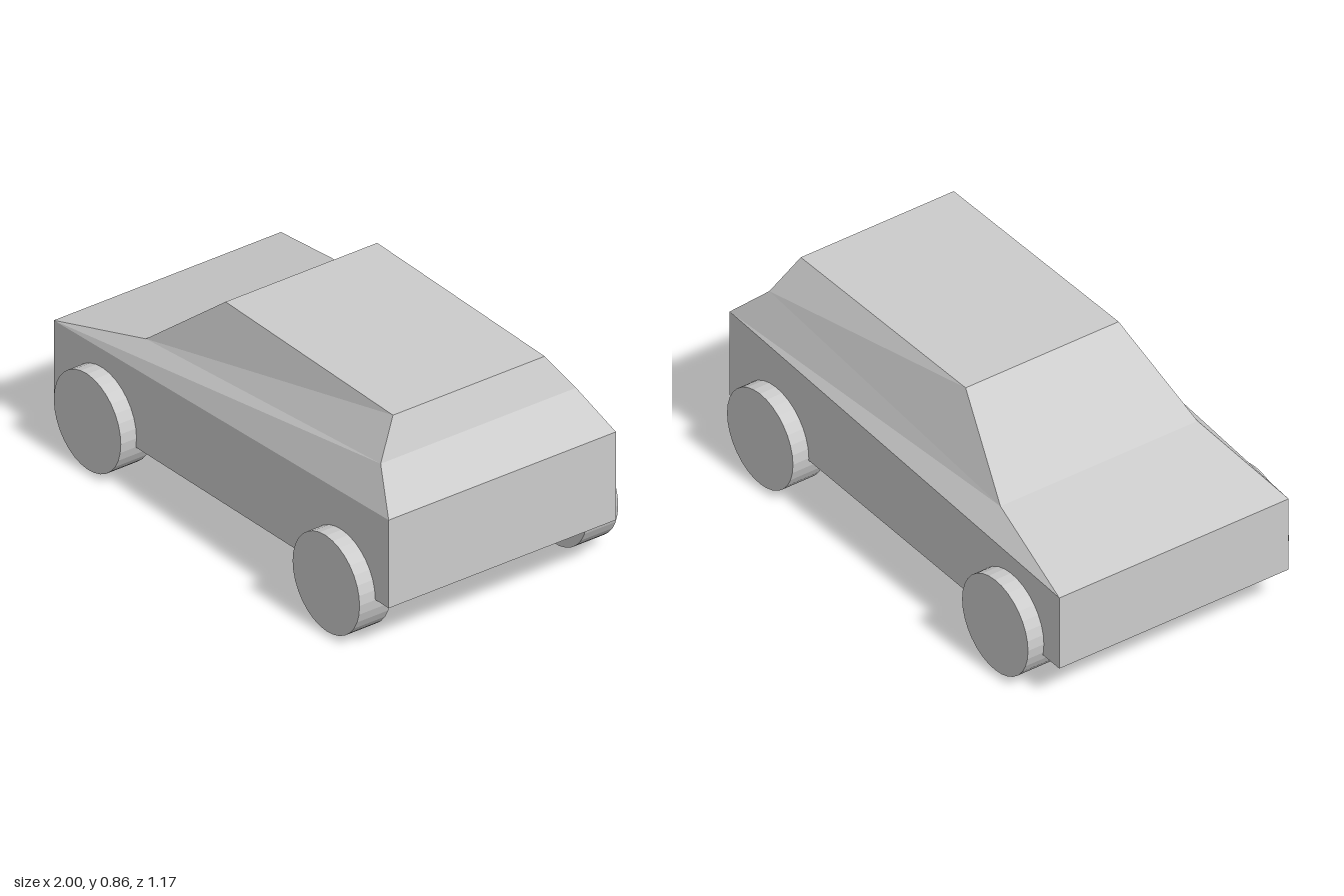
import * as THREE from 'three';

const grey = new THREE.MeshStandardMaterial({ color: 0xcccccc, flatShading: true });

// Body lofted through four-cornered rings: nose end, tail end, half width
function makeBody() {
  const rings = [
    { nose: [-1, 0.146], tail: [1, 0.203], w: 0.514 },         // floor
    { nose: [-1, 0.46], tail: [1, 0.573], w: 0.514 },          // beltline
    { nose: [-0.545, 0.573], tail: [0.857, 0.716], w: 0.442 }, // window base
    { nose: [-0.2, 0.857], tail: [0.8, 0.857], w: 0.343 },     // roof
  ].map(({ nose, tail, w }) => [
    [...nose, w], [...tail, w], [...tail, -w], [...nose, -w],
  ]);

  const pos = [];
  const quad = (a, b, c, d) => pos.push(...a, ...b, ...c, ...a, ...c, ...d);
  for (let r = 0; r < rings.length - 1; r++) {
    for (let i = 0; i < 4; i++) {
      const j = (i + 1) % 4;
      quad(rings[r][i], rings[r][j], rings[r + 1][j], rings[r + 1][i]);
    }
  }
  quad(...rings[3]);                // roof panel
  quad(...[...rings[0]].reverse()); // underside

  const geometry = new THREE.BufferGeometry();
  geometry.setAttribute('position', new THREE.Float32BufferAttribute(pos, 3));
  geometry.computeVertexNormals();
  const body = new THREE.Mesh(geometry, grey);
  body.name = 'body';
  return body;
}

export function createModel() {
  const car = new THREE.Group();
  car.name = 'car';
  car.add(makeBody());

  // Wheels, partly sunk into the body sides
  const wheelGeometry = new THREE.CylinderGeometry(0.2, 0.2, 0.142, 32).rotateX(Math.PI / 2);
  for (const [end, x] of [['front', -0.706], ['rear', 0.72]]) {
    for (const [side, s] of [['Left', -1], ['Right', 1]]) {
      const wheel = new THREE.Mesh(wheelGeometry, grey);
      wheel.name = `${end}${side === 'Left' ? 'Far' : 'Near'}Wheel`;
      wheel.position.set(x, 0.2, s * 0.514);
      car.add(wheel);
    }
  }
  return car;
}
